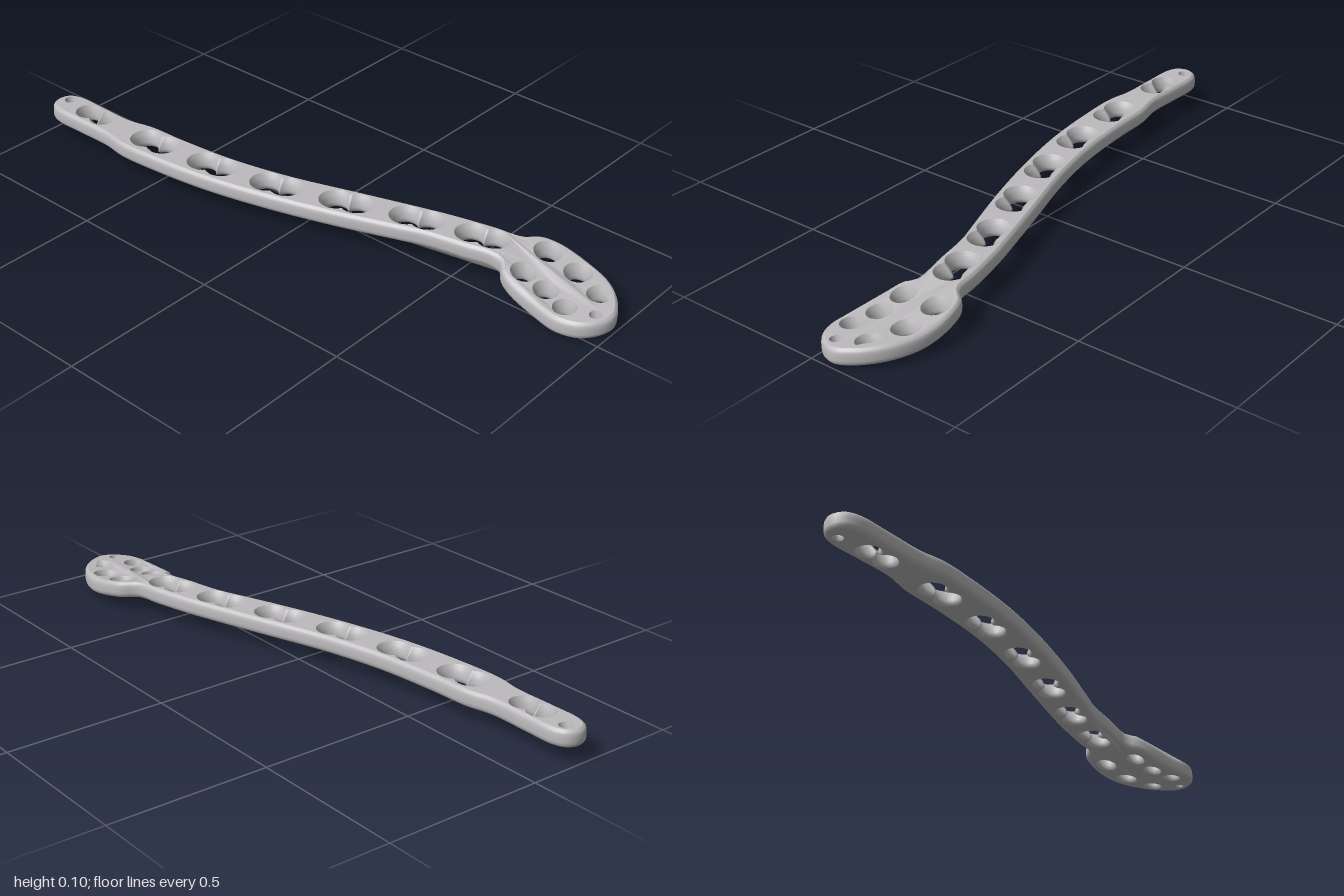
import * as THREE from 'three';

// Outline in (x, z): back edge left to right, round the head, front edge back again
const OUTLINE = [
  [-1, 0.165], [-0.985, 0.128], [-0.945, 0.11], [-0.85, 0.109], [-0.72, 0.109], [-0.63, 0.09], [-0.5, 0.083],
  [-0.3, 0.062], [-0.1, 0.018], [0.12, -0.052], [0.33, -0.118], [0.4, -0.138], [0.53, -0.168], [0.61, -0.182],
  [0.65, -0.222], [0.72, -0.24], [0.82, -0.231], [0.91, -0.195], [0.97, -0.14], [0.999, -0.08], [0.985, -0.03],
  [0.945, 0.012], [0.88, 0.03], [0.8, 0.018], [0.7, 0], [0.658, -0.018], [0.635, -0.045], [0.59, -0.045],
  [0.53, -0.03], [0.4, -0.003], [0.33, 0.022], [0.12, 0.097], [-0.1, 0.162], [-0.3, 0.206], [-0.5, 0.23],
  [-0.63, 0.236], [-0.71, 0.224], [-0.85, 0.224], [-0.945, 0.222], [-0.985, 0.203],
];

// Holes: x, z, radius, lobe half spacing, angle, countersink factor
const HOLES = [
  [-0.82, 0.165, 0.033, 0.033, 0, 0.65],
  [-0.555, 0.157, 0.037, 0.034, -0.08, 1],
  [-0.325, 0.133, 0.037, 0.034, -0.16, 1],
  [-0.1, 0.088, 0.037, 0.034, -0.26, 1],
  [0.12, 0.021, 0.037, 0.034, -0.33, 1],
  [0.33, -0.049, 0.036, 0.034, -0.29, 1],
  [0.53, -0.1, 0.036, 0.034, -0.22, 0.95],
  [0.705, -0.178, 0.03, 0, 0, 0.8], [0.815, -0.17, 0.03, 0, 0, 0.8], [0.915, -0.132, 0.027, 0, 0, 0.8],
  [0.705, -0.06, 0.027, 0, 0, 0.7], [0.79, -0.05, 0.027, 0, 0, 0.7], [0.87, -0.026, 0.026, 0, 0, 0.6],
  [0.955, -0.05, 0.012, 0, 0, 0.4], [-0.955, 0.152, 0.014, 0, 0, 0.4],
];

// Cross-section levels: height, outline inset, hole widening
const LEVELS = [
  [0.047, 0.012, 0.006], [0.05, 0.006, 0.003], [0.056, 0.001, 0], [0.064, 0, 0], [0.078, 0, 0.003],
  [0.088, 0.001, 0.008], [0.095, 0.004, 0.012], [0.1, 0.011, 0.015],
];

// The head slopes down from the shaft and tilts towards the front
function bend(x, y, z) {
  const drop = 0.035 * THREE.MathUtils.smoothstep(x, 0.58, 0.85);
  const tilt = 0.08 * THREE.MathUtils.smoothstep(x, 0.58, 0.72) * (z + 0.18);
  return y - drop - tilt;
}

const curve = new THREE.CatmullRomCurve3(OUTLINE.map(([x, z]) => new THREE.Vector3(x, 0, z)), true);

function outlineLoop(inset) {
  const n = 240, loop = [];
  for (let i = 0; i < n; i++) {
    const p = curve.getPointAt(i / n), t = curve.getTangentAt(i / n);
    loop.push(new THREE.Vector2(p.x - t.z * inset, p.z + t.x * inset));
  }
  return loop;
}

// Round hole, or a figure of eight when the lobes are spaced apart
function holeLoop([x, z, radius, d, angle, sink], widen) {
  const n = d ? 48 : 28, r = radius + widen * sink, loop = [];
  for (let i = 0; i < n; i++) {
    const a = (i / n) * Math.PI * 2;
    const s = d * Math.abs(Math.cos(a)) + Math.sqrt(r * r - (d * Math.sin(a)) ** 2);
    loop.push(new THREE.Vector2(x + s * Math.cos(a + angle), z + s * Math.sin(a + angle)));
  }
  return loop;
}

function makeGeometry(positions, index) {
  const geometry = new THREE.BufferGeometry();
  geometry.setAttribute('position', new THREE.Float32BufferAttribute(positions, 3));
  geometry.setIndex(index);
  geometry.computeVertexNormals();
  return geometry;
}

// Wall through one loop per level
function wall(loops, inward) {
  const positions = [], index = [], n = loops[0].length;
  loops.forEach((loop, k) => loop.forEach((p) => positions.push(p.x, bend(p.x, LEVELS[k][0], p.y), p.y)));
  for (let k = 0; k < loops.length - 1; k++) {
    for (let i = 0; i < n; i++) {
      const a = k * n + i, b = k * n + (i + 1) % n, c = a + n, d = b + n;
      if (inward) index.push(a, b, c, b, d, c);
      else index.push(a, c, b, b, c, d);
    }
  }
  return makeGeometry(positions, index);
}

// Perforated face at one level
function face(level, up) {
  const [y, inset, widen] = level;
  const contour = outlineLoop(inset), holes = HOLES.map((h) => holeLoop(h, widen));
  const triangles = THREE.ShapeUtils.triangulateShape(contour, holes);
  const points = [contour, ...holes].flat(), index = [];
  for (const [a, b, c] of triangles) {
    const u = points[b].clone().sub(points[a]), v = points[c].clone().sub(points[a]);
    const facesUp = u.y * v.x - u.x * v.y > 0;
    index.push(...(facesUp === up ? [a, b, c] : [a, c, b]));
  }
  return makeGeometry(points.flatMap((p) => [p.x, bend(p.x, y, p.y), p.y]), index);
}

export function createModel() {
  const model = new THREE.Group();
  model.name = 'bonePlate';
  const steel = new THREE.MeshStandardMaterial({ color: 0xbcbabc });
  steel.name = 'brushed steel';
  const add = (name, geometry) => {
    const mesh = new THREE.Mesh(geometry, steel);
    mesh.name = name;
    model.add(mesh);
  };

  add('topFace', face(LEVELS[LEVELS.length - 1], true));
  add('bottomFace', face(LEVELS[0], false));
  add('outerEdge', wall(LEVELS.map((l) => outlineLoop(l[1])), false));
  HOLES.forEach((h, i) => {
    const kind = h[3] ? 'slot' : h[2] < 0.02 ? 'pinHole' : 'headHole';
    add(kind + (i + 1), wall(LEVELS.map((l) => holeLoop(h, l[2])), true));
  });

  // Rest the plate on the ground
  const low = new THREE.Box3().setFromObject(model).min.y;
  model.children.forEach((mesh) => mesh.geometry.translate(0, -low, 0));
  return model;
}
